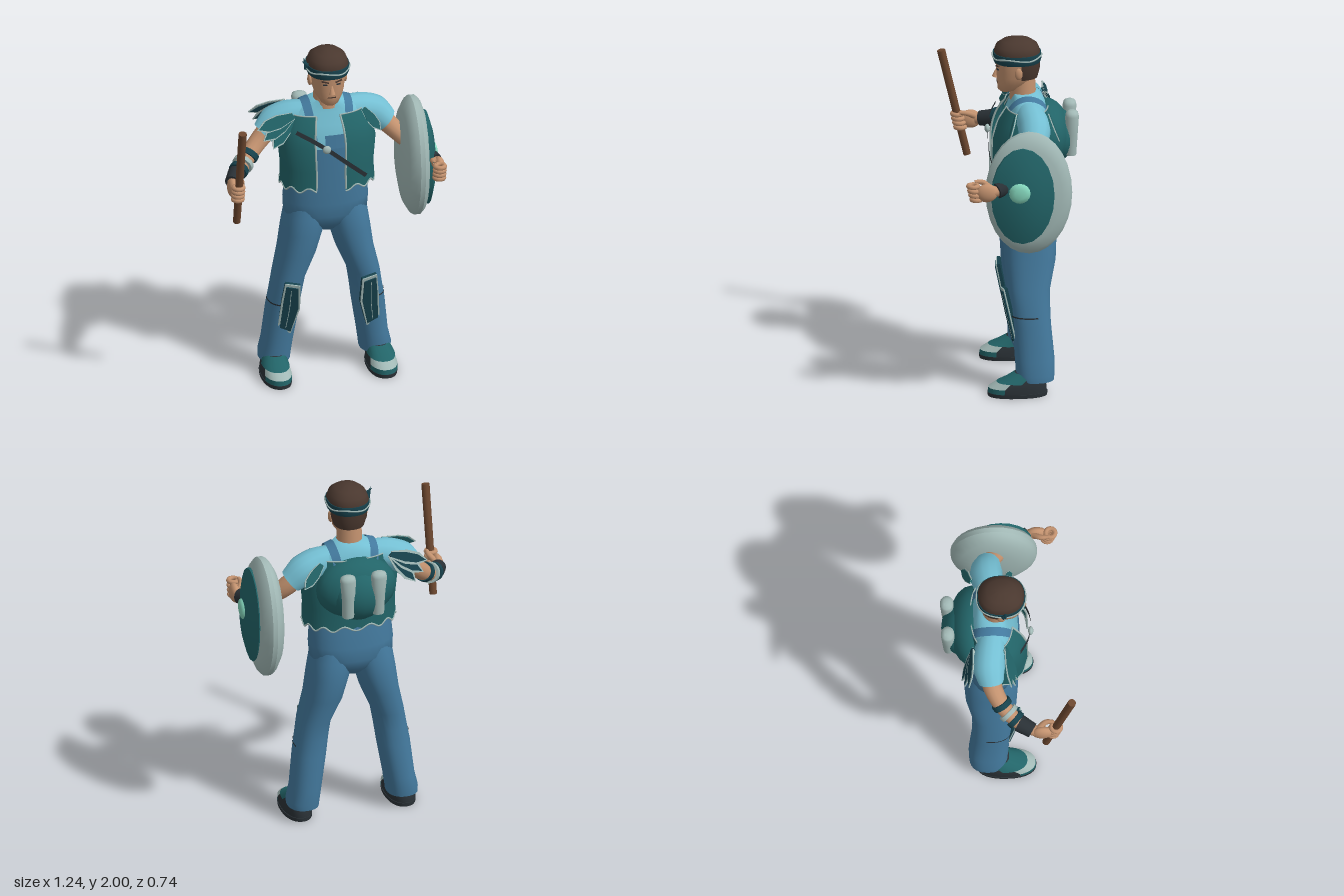
import * as THREE from 'three';
import { toCreasedNormals } from 'three/addons/utils/BufferGeometryUtils.js';

const V = (x, y, z) => new THREE.Vector3(x, y, z);
const RAD = Math.PI / 180;

// Point on a rounded ring; section = [y, cx, cz, rx, rz], angle 90 faces front
function ringPoint([y, cx, cz, rx, rz], deg, p = 0.88) {
  const c = Math.cos(deg * RAD), s = Math.sin(deg * RAD);
  return V(cx + rx * Math.sign(c) * Math.abs(c) ** p, y, cz + rz * Math.sign(s) * Math.abs(s) ** p);
}

const hemWave = (deg) => 0.014 * Math.sin(deg * RAD * 13);

// Skin over horizontal rings, listed from bottom to top
function loft(sections, { a0 = 0, a1 = 360, n = 28, wave = false, grow = 0 } = {}) {
  const closed = a1 - a0 === 360, cols = closed ? n : n + 1, pos = [], idx = [];
  sections.forEach(([y, cx, cz, rx, rz], i) => {
    for (let j = 0; j < cols; j++) {
      const a = a0 + ((a1 - a0) * j) / n;
      const v = ringPoint([y, cx, cz, rx + grow, rz + grow], a);
      pos.push(v.x, v.y + (wave && i === 0 ? hemWave(a) : 0), v.z);
    }
  });
  for (let i = 0; i < sections.length - 1; i++)
    for (let j = 0; j < n; j++) {
      const k = (j + 1) % cols, a = i * cols + j, b = i * cols + k;
      idx.push(a, a + cols, b + cols, a, b + cols, b);
    }
  if (closed) {
    const top = (sections.length - 1) * cols, c = pos.length / 3, l = sections.at(-1), f = sections[0];
    pos.push(f[1], f[0], f[2], l[1], l[0], l[2]);
    for (let j = 0; j < n; j++) {
      const k = (j + 1) % n;
      idx.push(c, j, k, c + 1, top + k, top + j);
    }
  }
  const g = new THREE.BufferGeometry();
  g.setAttribute('position', new THREE.Float32BufferAttribute(pos, 3));
  g.setIndex(idx);
  return toCreasedNormals(g, 0.95);
}

// Tube whose radius changes along its path
function limb(points, radii, sides = 14) {
  const N = 20, curve = new THREE.CatmullRomCurve3(points);
  const g = new THREE.TubeGeometry(curve, N, 1, sides), pos = g.attributes.position;
  for (let i = 0; i < pos.count; i++) {
    const u = Math.floor(i / (sides + 1)) / N, c = curve.getPointAt(u);
    const t = u * (radii.length - 1), k = Math.min(Math.floor(t), radii.length - 2);
    const r = THREE.MathUtils.lerp(radii[k], radii[k + 1], t - k);
    const v = V().fromBufferAttribute(pos, i).sub(c).multiplyScalar(r).add(c);
    pos.setXYZ(i, v.x, v.y, v.z);
  }
  return g;
}

const cord = (pts, r, closed = false) =>
  new THREE.TubeGeometry(new THREE.CatmullRomCurve3(pts, closed), pts.length * 3, r, 5, closed);

// Flat strap along a path, widened along a fixed direction
function strap(points, half) {
  const pts = new THREE.CatmullRomCurve3(points).getPoints(16), pos = [], idx = [];
  pts.forEach((p, i) => {
    for (const s of [-1, 1]) pos.push(p.x + s * half.x, p.y + s * half.y, p.z + s * half.z);
    if (i) idx.push(2 * i - 2, 2 * i - 1, 2 * i, 2 * i - 1, 2 * i + 1, 2 * i);
  });
  const g = new THREE.BufferGeometry();
  g.setAttribute('position', new THREE.Float32BufferAttribute(pos, 3));
  g.setIndex(idx);
  g.computeVertexNormals();
  return g;
}

function plate(pts, depth) {
  const shape = new THREE.Shape(pts.map(([x, y]) => new THREE.Vector2(x, y)));
  return new THREE.ExtrudeGeometry(shape, { depth, bevelEnabled: false });
}

export function createModel() {
  const model = new THREE.Group();
  model.name = 'shieldBearer';
  const mat = (name, color) => new THREE.MeshStandardMaterial({ name, color, side: THREE.DoubleSide });
  const denim = mat('denim blue', 0x43799d), shirt = mat('shirt blue', 0x74bfd3), teal = mat('teal', 0x226468),
    pale = mat('pale grey', 0xa2b9b6), skin = mat('skin', 0xc3926f), hair = mat('brown hair', 0x4a382f),
    dark = mat('charcoal', 0x2a3136), wood = mat('wood', 0x6c472f), navy = mat('deep teal', 0x17424d),
    mint = mat('mint', 0x84d6bc);

  const add = (name, g, m, p = [0, 0, 0], parent = model) => {
    const mesh = new THREE.Mesh(g, m);
    mesh.name = name;
    mesh.position.set(...p);
    parent.add(mesh);
    return mesh;
  };
  const ball = (name, m, p, scale) => {
    const b = add(name, new THREE.SphereGeometry(1, 20, 14), m, p);
    b.scale.set(...scale);
  };
  // Ring or cuff lying across the direction of an arm
  const cuff = (name, m, from, to, r0, r1) => {
    const a = V(...from), b = V(...to);
    const c = add(name, new THREE.CylinderGeometry(r1, r0, a.distanceTo(b), 14), m, a.clone().lerp(b, 0.5).toArray());
    c.quaternion.setFromUnitVectors(V(0, 1, 0), b.sub(a).normalize());
  };

  // Torso, trousers seat and bib with a raised centre
  add('shirt', loft([[1.15, 0, -0.07, 0.215, 0.125], [1.3, 0, -0.07, 0.215, 0.13], [1.45, 0, -0.075, 0.24, 0.135],
    [1.55, 0, -0.085, 0.24, 0.118], [1.62, 0, -0.09, 0.2, 0.098], [1.665, 0, -0.085, 0.11, 0.083],
    [1.683, 0, -0.075, 0.08, 0.072]]), shirt);
  add('seat', loft([[0.88, 0, -0.09, 0.05, 0.08], [0.93, 0, -0.09, 0.15, 0.128], [0.99, 0, -0.09, 0.235, 0.15],
    [1.07, 0, -0.085, 0.24, 0.15], [1.2, 0, -0.075, 0.23, 0.142]]), denim);
  const bib = [[1.15, 0, -0.07, 0.222, 0.137], [1.3, 0, -0.07, 0.222, 0.139], [1.42, 0, -0.074, 0.24, 0.142], [1.5, 0, -0.078, 0.246, 0.137]];
  add('bib', loft(bib.slice(0, 3), { a0: 55, a1: 112 }), denim);
  add('bibTop', loft(bib.slice(2), { a0: 66, a1: 96 }), denim);

  // Open vest with a wavy hem and pale piping
  const vest = [[1.19, 0, -0.05, 0.265, 0.168], [1.3, 0, -0.05, 0.262, 0.165], [1.44, 0, -0.055, 0.275, 0.165],
    [1.54, 0, -0.07, 0.255, 0.15], [1.61, 0, -0.085, 0.215, 0.118]];
  const vestFrom = 108, vestTo = 437, hem = [], top = [];
  add('vest', loft(vest, { a0: vestFrom, a1: vestTo, n: 130, wave: true }), teal);
  for (let a = vestFrom; a <= vestTo; a += 3.5) {
    hem.push(ringPoint(vest[0], a).add(V(0, hemWave(a), 0)));
    top.push(ringPoint(vest[4], a));
  }
  add('vestHem', cord(hem, 0.005), pale);
  add('vestCollarEdge', cord(top, 0.004), pale);
  for (const a of [vestFrom, vestTo]) add('vestFrontEdge', cord(vest.map((s) => ringPoint(s, a)), 0.006), pale);
  add('chestStrap', strap([V(-0.2, 1.545, 0.07), V(-0.12, 1.505, 0.11), V(-0.04, 1.45, 0.126), V(0.08, 1.35, 0.128),
    V(0.19, 1.25, 0.1)], V(0.007, 0.01, 0)), dark);
  ball('clasp', pale, [-0.04, 1.45, 0.13], [0.024, 0.024, 0.015]);

  // Backpack with two rolls
  ball('backpack', teal, [0, 1.44, -0.19], [0.23, 0.18, 0.135]);
  ball('backpackPocket', teal, [0, 1.42, -0.23], [0.165, 0.155, 0.135]);
  for (const s of [-1, 1]) add('bedroll', loft([[1.33, s * 0.087, -0.325, 0.033, 0.03], [1.45, s * 0.087, -0.328, 0.037, 0.035],
    [1.56, s * 0.09, -0.332, 0.045, 0.038], [1.58, s * 0.09, -0.332, 0.04, 0.033], [1.59, s * 0.09, -0.332, 0.02, 0.018]], { n: 14 }), pale);

  // Head and face
  add('neck', new THREE.CylinderGeometry(0.066, 0.075, 0.16, 18), skin, [0, 1.72, -0.065]);
  add('head', loft([[1.687, 0, 0.03, 0.03, 0.03], [1.7, 0, 0.012, 0.05, 0.062], [1.74, 0, -0.01, 0.076, 0.088],
    [1.78, 0, -0.025, 0.088, 0.107], [1.84, 0, -0.03, 0.096, 0.115], [1.9, 0, -0.03, 0.1, 0.12]]), skin);
  add('hairCap', loft([[1.87, 0, -0.033, 0.106, 0.124], [1.92, 0, -0.033, 0.115, 0.129], [1.955, 0, -0.032, 0.102, 0.116],
    [1.982, 0, -0.032, 0.07, 0.08], [1.999, 0, -0.032, 0.022, 0.028]]), hair);
  add('hairBack', loft([[1.77, 0, -0.04, 0.086, 0.106], [1.82, 0, -0.035, 0.103, 0.124], [1.89, 0, -0.033, 0.108, 0.126]],
    { a0: 185, a1: 355 }), hair);
  add('headband', loft([[1.863, 0, -0.033, 0.113, 0.129], [1.885, 0, -0.033, 0.121, 0.136], [1.918, 0, -0.033, 0.119, 0.133]]), navy);
  const bandLine = [];
  for (let a = 0; a < 360; a += 10) bandLine.push(ringPoint([1.897 + 0.006 * Math.sin(a * RAD * 4), 0, -0.033, 0.121, 0.136], a));
  add('headbandStitch', cord(bandLine, 0.005, true), pale);
  for (const [tilt, l] of [[0.9, 0.06], [0.3, 0.075]]) {
    const knot = add('headbandKnot', new THREE.ConeGeometry(0.018, l, 4), navy, [-0.127, 1.925, -0.03 + tilt * 0.02]);
    knot.rotation.z = tilt;
  }
  const nose = add('nose', new THREE.ConeGeometry(0.018, 0.065, 8), skin, [0, 1.802, 0.083]);
  nose.rotation.x = -0.2;
  add('mouth', new THREE.BoxGeometry(0.046, 0.006, 0.008), hair, [0, 1.745, 0.076]);
  for (const s of [-1, 1]) {
    add('eye', new THREE.BoxGeometry(0.026, 0.008, 0.008), dark, [s * 0.037, 1.826, 0.076]).rotation.y = s * 0.25;
    const brow = add('eyebrow', new THREE.BoxGeometry(0.042, 0.008, 0.009), hair, [s * 0.038, 1.845, 0.078]);
    brow.rotation.set(0, s * 0.25, s * 0.2);
    ball('ear', skin, [s * 0.1, 1.815, -0.035], [0.013, 0.034, 0.022]);
  }

  // Paired limbs
  for (const s of [-1, 1]) {
    add('overallStrap', strap([V(s * 0.1, 1.46, 0.064), V(s * 0.11, 1.58, 0.035), V(s * 0.118, 1.653, -0.02),
      V(s * 0.12, 1.675, -0.085), V(s * 0.115, 1.645, -0.165), V(s * 0.1, 1.56, -0.21)], V(0.023, -s * 0.008, 0)), denim);
    add('sleeve', limb([V(s * 0.12, 1.585, -0.09), V(s * 0.2, 1.573, -0.1), V(s * 0.275, 1.545, -0.108), V(s * 0.35, 1.48, -0.098)],
      [0.075, 0.088, 0.09, 0.07]), shirt);
    add('arm', limb([V(s * 0.28, 1.54, -0.11), V(s * 0.38, 1.44, -0.085), V(s * 0.47, 1.36, -0.02), V(s * 0.55, 1.315, 0.075),
      V(s * 0.582, 1.305, 0.15)], [0.058, 0.054, 0.047, 0.04, 0.03]), skin);
    cuff('bracer', dark, [s * 0.535, 1.325, 0.05], [s * 0.577, 1.308, 0.125], 0.05, 0.043);
    ball('palm', skin, [s * 0.588, 1.302, 0.18], [0.03, 0.053, 0.06]);
    for (let k = 0; k < 4; k++) {
      const finger = add('finger', new THREE.TorusGeometry(0.026, 0.0135, 8, 16), skin, [s * 0.573, 1.262 + k * 0.026, 0.238 + k * 0.006]);
      finger.rotation.x = Math.PI / 2;
    }
    add('thumb', limb([V(s * 0.57, 1.325, 0.16), V(s * 0.545, 1.35, 0.2), V(s * 0.545, 1.355, 0.245)], [0.018, 0.016, 0.01], 8), skin);

    add('trouserLeg', loft([[0.085, s * 0.287, -0.112, 0.088, 0.104], [0.12, s * 0.285, -0.112, 0.09, 0.107], [0.2, s * 0.27, -0.11, 0.086, 0.11],
      [0.4, s * 0.243, -0.095, 0.092, 0.107], [0.5, s * 0.228, -0.087, 0.09, 0.112], [0.6, s * 0.212, -0.081, 0.09, 0.12],
      [0.75, s * 0.163, -0.092, 0.105, 0.143], [0.88, s * 0.135, -0.092, 0.115, 0.15], [0.98, s * 0.12, -0.09, 0.114, 0.143],
      [1.12, s * 0.1, -0.085, 0.09, 0.11]]), denim);

    // Knee guard: deep base, pale border, inset face, stitches and outer tie
    const guard = new THREE.Group();
    guard.name = 'kneeGuard';
    guard.position.set(s * 0.225, 0.44, 0.025);
    guard.rotation.set(0.2, s * 0.15, 0);
    model.add(guard);
    const outline = [[0.035, 0.17], [-0.05, 0.155], [-0.055, 0.0], [-0.01, -0.175], [0.065, -0.145], [0.05, 0.05]].map(([x, y]) => [s * x, y]);
    add('guardBase', plate(outline, 0.018), navy, [0, 0, -0.015], guard);
    add('guardBorder', plate(outline, 0.007), pale, [0, 0, 0.003], guard);
    add('guardFace', plate(outline.map(([x, y]) => [x * 0.8, y * 0.9]), 0.009), navy, [0, 0, 0.008], guard);
    add('guardStitch', cord([V(0, 0.13, 0.017), V(s * 0.005, 0, 0.017), V(s * 0.02, -0.13, 0.017)], 0.002), pale, [0, 0, 0], guard);
    const tieFrom = s > 0 ? -15 : 110;
    add('guardTie', loft([[0.448, s * 0.236, -0.091, 0.095, 0.115], [0.456, s * 0.235, -0.09, 0.095, 0.115]],
      { a0: tieFrom, a1: tieFrom + 85 }), dark);

    // Shoe with teal rim, pale toe and teal vamp
    const shoe = [[0.02, s * 0.3, -0.012, 0.08, 0.162], [0.05, s * 0.3, -0.014, 0.079, 0.16], [0.08, s * 0.3, -0.032, 0.073, 0.132],
      [0.1, s * 0.298, -0.055, 0.066, 0.108], [0.13, s * 0.292, -0.085, 0.056, 0.085]];
    add('sole', loft([[0, s * 0.3, -0.012, 0.082, 0.165], [0.022, s * 0.3, -0.012, 0.084, 0.167]]), dark);
    add('shoe', loft(shoe), dark);
    add('toeRim', loft(shoe.slice(0, 2), { a0: 25, a1: 155, grow: 0.003 }), teal);
    add('toeCap', loft(shoe.slice(1, 3), { a0: 25, a1: 155, grow: 0.004 }), pale);
    add('shoeVamp', loft(shoe.slice(2), { a0: 0, a1: 180, grow: 0.004 }), teal);
  }

  // Bangles on the right forearm
  cuff('bangle', navy, [-0.435, 1.392, -0.05], [-0.455, 1.374, -0.033], 0.057, 0.057);
  cuff('bangle', pale, [-0.478, 1.356, -0.012], [-0.493, 1.347, 0.005], 0.06, 0.06);
  cuff('bangle', navy, [-0.51, 1.338, 0.022], [-0.528, 1.329, 0.044], 0.055, 0.055);

  // Layered shoulder flaps leaning on the sleeves, pale edge around a coloured face
  const leaf = [[-0.02, 0], [0.02, 0], [0.04, -0.09], [0.035, -0.16], [0, -0.215], [-0.035, -0.16], [-0.04, -0.09]];
  const flap = (pos, lean, deg, size, face, faceWidth) => {
    const g = new THREE.Group();
    g.name = 'shoulderFlap';
    g.position.set(...pos);
    g.rotation.set(lean, 0, deg * RAD);
    g.scale.set(size, size, 1);
    model.add(g);
    add('flapEdge', plate(leaf, 0.006), pale, [0, 0, -0.003], g);
    add('flapFace', plate(leaf.map(([a, b]) => [a * faceWidth, b * 0.95]), 0.012), face, [0, 0, -0.006], g);
  };
  [-36, -55, -74].forEach((d, i) => {
    flap([-0.2, 1.61, -0.018 + i * 0.004], -0.4, d, 1.02, teal, 0.86);
    flap([-0.2, 1.61, -0.19 - i * 0.004], 0.4, d, 1, navy, 0.65);
  });
  flap([0.2, 1.61, -0.012], -0.35, 34, 0.75, teal, 0.86);
  flap([0.2, 1.61, -0.195], 0.4, 42, 0.8, teal, 0.8);

  // Club held in the right hand
  const club = add('club', new THREE.CylinderGeometry(0.023, 0.021, 0.635, 10), wood, [-0.57, 1.41, 0.272]);
  club.rotation.x = Math.atan2(0.145, 0.62);

  // Oval shield facing outward: pale body, teal dome and mint boss
  const disc = (name, m, pts, sides, x, y, z, ry, rz) => {
    const g = new THREE.LatheGeometry(pts.map(([r, h]) => new THREE.Vector2(r, h)), sides);
    const d = add(name, toCreasedNormals(g, 0.7), m, [x, y, z]);
    d.rotation.z = -Math.PI / 2;
    d.scale.set(ry, 1, rz);
  };
  disc('shieldBody', pale, [[0, -0.084], [0.5, -0.077], [0.8, -0.056], [0.96, -0.025], [1, -0.005], [1, 0.022], [0.93, 0.045], [0.75, 0.066], [0, 0.07]],
    28, 0.49, 1.265, -0.06, 0.355, 0.24);
  disc('shieldDome', teal, [[1, -0.02], [1, 0.016], [0.7, 0.04], [0.35, 0.054], [0, 0.06]], 20, 0.547, 1.265, -0.022, 0.28, 0.176);
  disc('shieldBoss', mint, [[1, -0.015], [0.85, 0.008], [0.45, 0.016], [0, 0.018]], 16, 0.6, 1.297, -0.003, 0.066, 0.066);

  return model;
}
